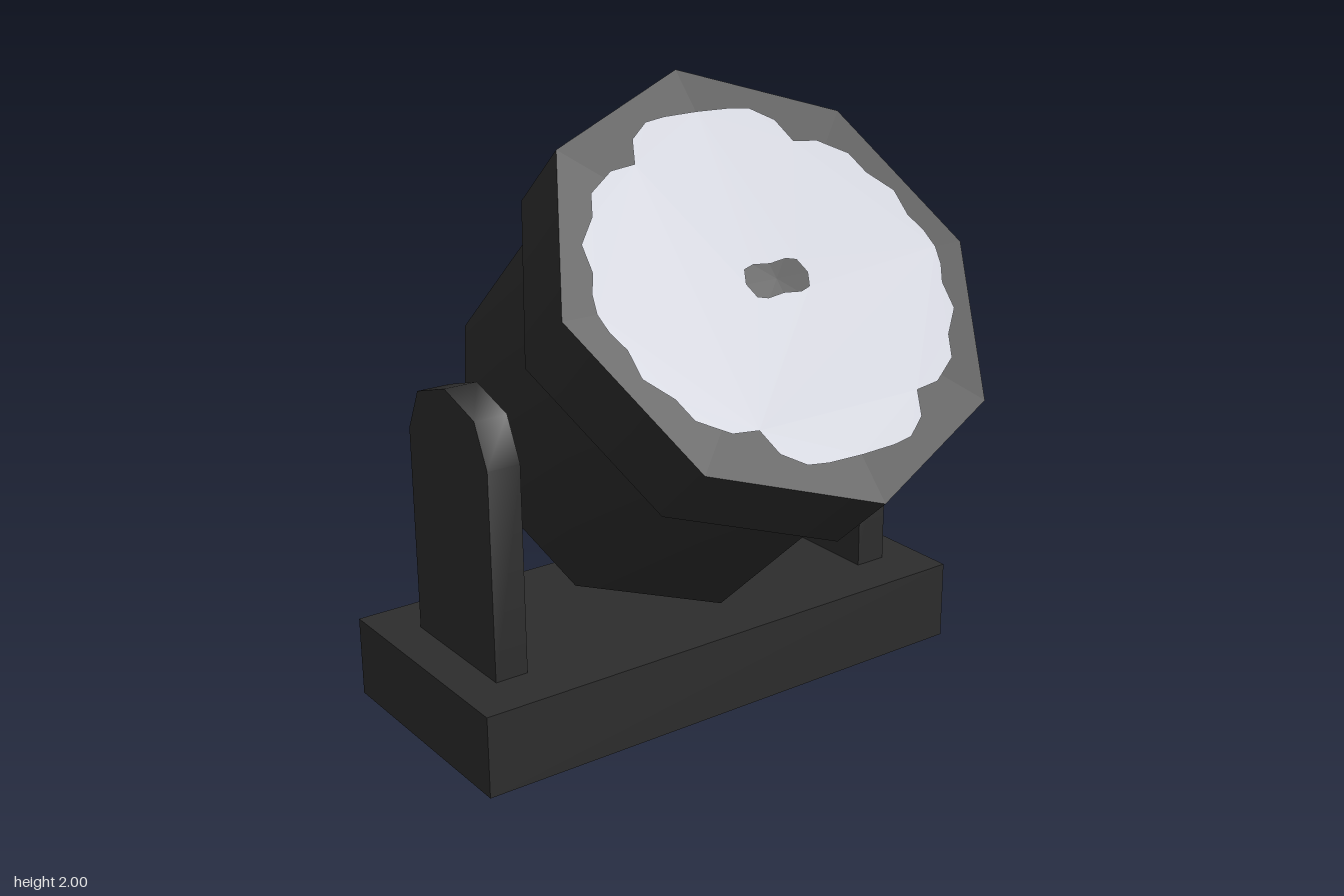
import * as THREE from 'three';
import { toCreasedNormals } from 'three/addons/utils/BufferGeometryUtils.js';

const V2 = (x, y) => new THREE.Vector2(x, y);

export function createModel() {
  const model = new THREE.Group();
  model.name = 'floodlight';

  const housing = new THREE.MeshStandardMaterial({ color: 0x2d2d2d, side: THREE.DoubleSide });
  housing.name = 'charcoal housing';
  const glass = new THREE.MeshStandardMaterial({ color: 0xc6c8d1, side: THREE.DoubleSide });
  glass.name = 'pale glass';

  const add = (parent, name, geometry, material) => {
    const mesh = new THREE.Mesh(geometry, material);
    mesh.name = name;
    parent.add(mesh);
    return mesh;
  };

  // Base: thin-walled box, open underneath
  const baseGeo = new THREE.BoxGeometry(0.81, 0.265, 1.8);
  const index = Array.from(baseGeo.index.array);
  index.splice(18, 6); // drop the bottom face
  baseGeo.setIndex(index);
  baseGeo.clearGroups();
  add(model, 'base', baseGeo, housing).position.set(-0.27, 0.1325, 0);

  // Side brackets with faceted round tops
  const bracketShape = new THREE.Shape([
    V2(-0.235, 0.265), V2(0.235, 0.265), V2(0.235, 0.94), V2(0.17, 1.075),
    V2(0, 1.128), V2(-0.17, 1.075), V2(-0.235, 0.94),
  ]);
  const bracketGeo = toCreasedNormals(
    new THREE.ExtrudeGeometry(bracketShape, { depth: 0.11, bevelEnabled: false }), 0.9);
  for (const [name, z] of [['frontBracket', 0.66], ['backBracket', -0.77]]) {
    add(model, name, bracketGeo, housing).position.set(-0.269, 0, z);
  }

  // Bent cable from the base into the rear of the lamp
  const cablePath = new THREE.CurvePath();
  const knee = new THREE.Vector3(-0.42, 0.57, 0);
  cablePath.add(new THREE.LineCurve3(new THREE.Vector3(-0.37, 0.25, 0), knee));
  cablePath.add(new THREE.LineCurve3(knee, new THREE.Vector3(-0.3, 0.8, 0)));
  add(model, 'cable', new THREE.TubeGeometry(cablePath, 8, 0.1, 8), housing);

  // Lamp head: local +y is the beam direction, origin at the middle of the front face
  const head = new THREE.Group();
  head.name = 'lampHead';
  head.position.set(0.32, 1.465, 0);
  head.rotation.z = -0.829;
  model.add(head);

  // Eight-sided body with chamfered rear
  add(head, 'lampBody', new THREE.LatheGeometry(
    [V2(0, -1.075), V2(0.44, -1.075), V2(0.65, -0.95), V2(0.65, -0.2)], 8), housing);

  // Front rim
  add(head, 'rim', new THREE.CylinderGeometry(0.7255, 0.7255, 0.268, 8), housing).position.y = -0.134;

  // Scalloped lens: one quarter outline mirrored twice, slot in the middle
  const quarter = [
    [0.573, 0], [0.57, 0.12], [0.56, 0.19], [0.51, 0.26], [0.43, 0.29], [0.42, 0.376],
    [0.36, 0.47], [0.287, 0.5], [0.21, 0.57], [0.12, 0.575], [0.06, 0.605], [0, 0.617],
  ];
  const mirrored = (points) => {
    const half = [...points, ...points.slice(0, -1).reverse().map(([u, v]) => [-u, v])];
    return [...half, ...half.slice(1, -1).reverse().map(([u, v]) => [u, -v])].map(([u, v]) => V2(u, v));
  };
  const lensShape = new THREE.Shape(mirrored(quarter));
  lensShape.holes.push(new THREE.Path(
    mirrored([[0.048, 0], [0.055, 0.06], [0.045, 0.095], [0, 0.112]])));
  const lens = add(head, 'lens', new THREE.ShapeGeometry(lensShape), glass);
  lens.rotation.x = -Math.PI / 2;
  lens.position.y = 0.004;

  return model;
}
